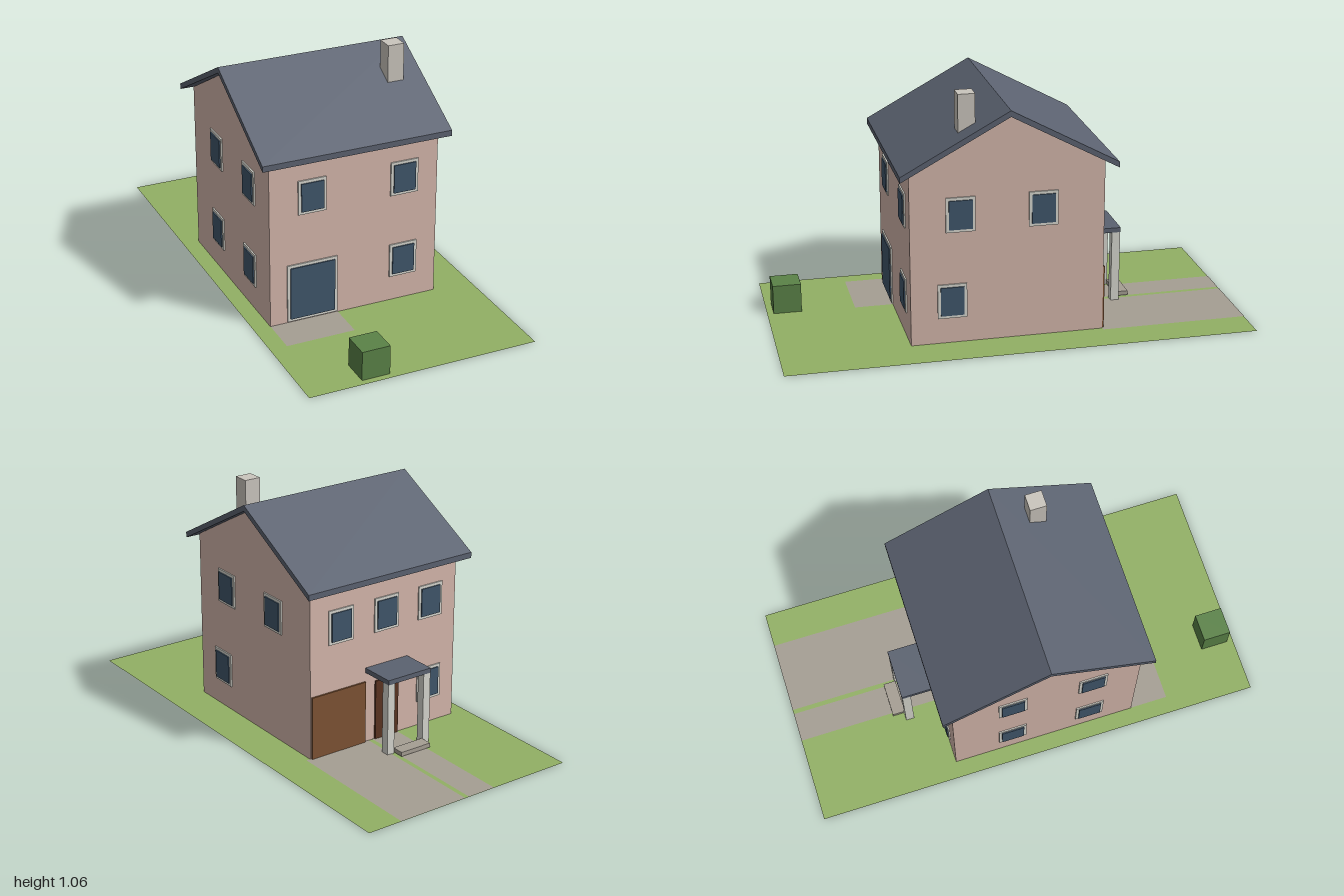
import * as THREE from 'three';

const mat = (color) => new THREE.MeshStandardMaterial({ color, flatShading: true, side: THREE.DoubleSide });
const M = {
  grass: mat(0x92b064), paving: mat(0xa59e93), wall: mat(0xd4b6ab), roof: mat(0x5b6270),
  glass: mat(0x40566b), frame: mat(0xd6d6ce), chimney: mat(0xcac5bd), bush: mat(0x5a8247),
  garage: mat(0x7d5233), door: mat(0x5a3421),
};

// Wall planes of the house
const X0 = -0.427, X1 = 0.325, Z0 = -0.37, Z1 = 0.452, RIDGE = 0.038;

export function createModel() {
  const model = new THREE.Group();
  model.name = 'house';

  // Box given by its limits along each axis
  function box(name, material, [x0, x1], [y0, y1], [z0, z1], parent = model) {
    const mesh = new THREE.Mesh(new THREE.BoxGeometry(x1 - x0, y1 - y0, z1 - z0), material);
    mesh.position.set((x0 + x1) / 2, (y0 + y1) / 2, (z0 + z1) / 2);
    mesh.name = name;
    parent.add(mesh);
    return mesh;
  }

  // Flat rectangle lying on the ground
  function patch(name, material, [x0, x1], [z0, z1], y) {
    const mesh = new THREE.Mesh(new THREE.PlaneGeometry(x1 - x0, z1 - z0).rotateX(-Math.PI / 2), material);
    mesh.position.set((x0 + x1) / 2, y, (z0 + z1) / 2);
    mesh.name = name;
    model.add(mesh);
  }

  // Profile of [z, y] points extruded along x
  function prism(name, material, points, x0, x1) {
    const shape = new THREE.Shape(points.map(([z, y]) => new THREE.Vector2(-z, y)));
    const geo = new THREE.ExtrudeGeometry(shape, { depth: x1 - x0, bevelEnabled: false });
    geo.rotateY(Math.PI / 2).translate(x0, 0, 0);
    const mesh = new THREE.Mesh(geo, material);
    mesh.name = name;
    model.add(mesh);
  }

  // Plot and paving
  patch('lawn', M.grass, [-0.5, 0.5], [-1, 1], 0.001);
  patch('driveway', M.paving, [0.025, 0.345], [-1, Z0], 0.003);
  patch('frontPath', M.paving, [-0.125, 0.005], [-1, Z0], 0.003);
  patch('terrace', M.paving, [X0, -0.125], [Z1, 0.62], 0.003);

  // Gabled body and roof
  prism('walls', M.wall, [[Z1, 0], [Z1, 0.752], [RIDGE, 0.978], [Z0, 0.752], [Z0, 0]], X0, X1);
  prism('roof', M.roof, [
    [0.495, 0.73], [0.495, 0.755], [RIDGE, 1.003], [-0.419, 0.755], [-0.419, 0.73], [RIDGE, 0.977],
  ], -0.47, 0.366);
  box('chimney', M.chimney, [0.2, 0.272], [0.85, 1.057], [0.165, 0.237]);

  // Framed pane on a wall; u runs along the wall, v is its centre height
  const sides = {
    front: { turn: 0, place: (u) => [u, Z1] },
    back: { turn: Math.PI, place: (u) => [u, Z0] },
    right: { turn: Math.PI / 2, place: (u) => [X1, u] },
    left: { turn: -Math.PI / 2, place: (u) => [X0, u] },
  };
  function opening(name, side, u, v, w = 0.124, h = 0.15) {
    const g = new THREE.Group();
    const [x, z] = sides[side].place(u);
    const gw = w / 2 - 0.0125, gh = h / 2 - 0.0125;
    box('frame', M.frame, [-w / 2, w / 2], [-h / 2, h / 2], [-0.01, 0.006], g);
    box('glass', M.glass, [-gw, gw], [-gh, gh], [-0.01, 0.011], g);
    g.position.set(x, v, z);
    g.rotation.y = sides[side].turn;
    g.name = name;
    model.add(g);
  }
  const UP = 0.565, LOW = 0.188;
  const windows = {
    front: [[-0.24, UP], [0.173, UP], [0.173, LOW]],
    right: [[0.24, UP], [-0.109, UP], [0.277, LOW]],
    left: [[0.245, UP], [-0.107, UP], [0.245, LOW], [-0.107, LOW]],
    back: [[0.173, UP], [-0.06, UP], [-0.29, UP], [-0.29, LOW]],
  };
  for (const [side, list] of Object.entries(windows)) {
    list.forEach(([u, v]) => opening(side + 'Window', side, u, v));
  }
  opening('patioDoor', 'front', -0.24, 0.138, 0.224, 0.26);

  // Rear doors
  box('garageDoor', M.garage, [0.047, 0.32], [0.003, 0.28], [Z0 - 0.008, Z0 + 0.01]);
  box('entranceDoor', M.door, [-0.125, -0.005], [0.003, 0.27], [Z0 - 0.008, Z0 + 0.01]);

  // Porch
  box('porchRoof', M.roof, [-0.175, 0.045], [0.32, 0.341], [-0.528, Z0]);
  for (const x of [-0.175, 0.01]) {
    box('porchPost', M.frame, [x, x + 0.035], [0.001, 0.32], [-0.526, -0.489]);
  }
  box('porchStep', M.paving, [-0.14, 0.01], [0.006, 0.025], [-0.577, -0.522]);

  box('bush', M.bush, [-0.262, -0.14], [0, 0.128], [0.85, 0.972]);
  return model;
}
